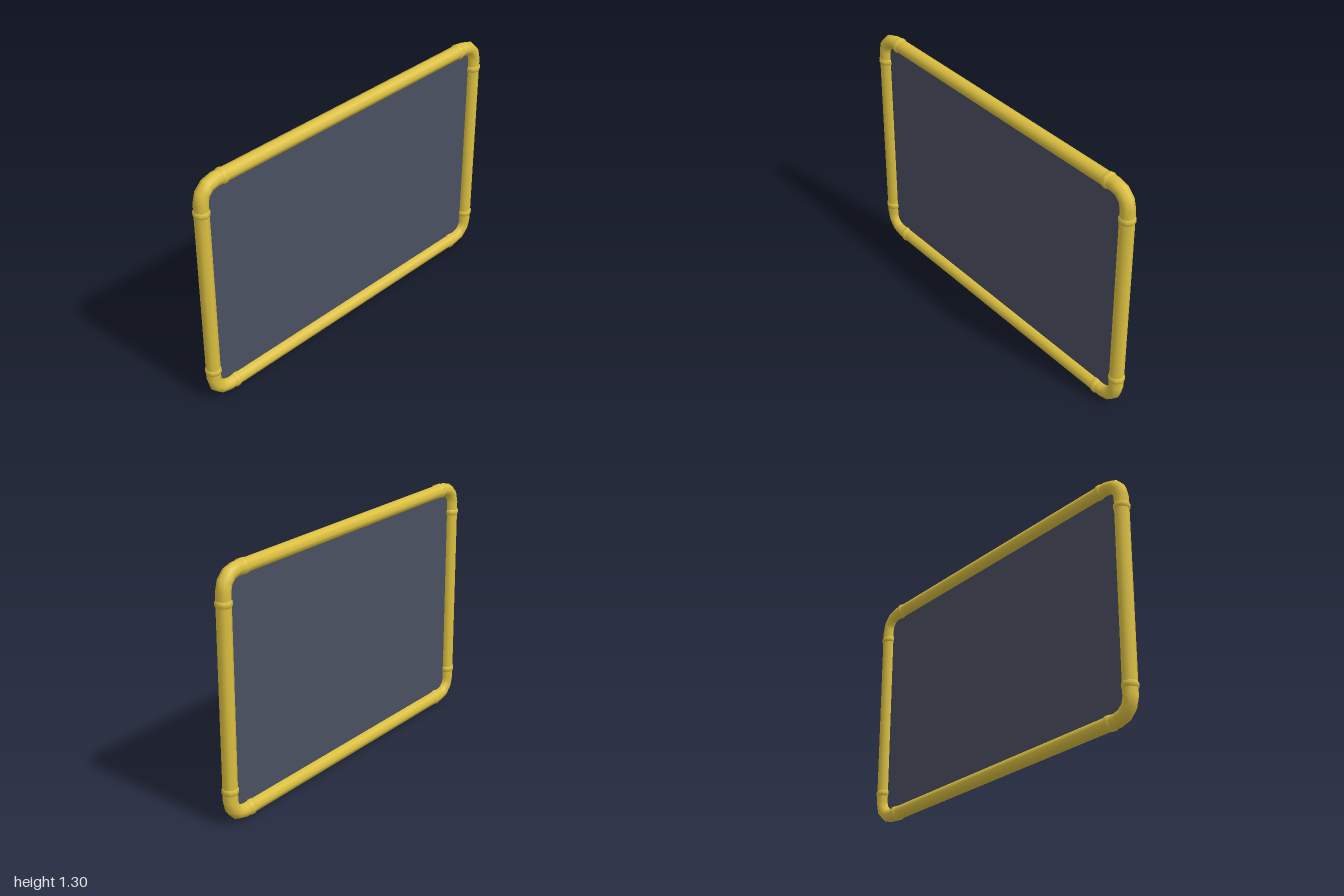
import * as THREE from 'three';

const X = 0.958, Y0 = 0.042, Y1 = 1.263; // pipe centre lines
const R = 0.037, BEND = 0.088, SIDES = 8;

export function createModel() {
  const model = new THREE.Group();
  model.name = 'pipeFramedPanel';
  const yellow = new THREE.MeshStandardMaterial({ color: 0xdcc040 });
  yellow.name = 'yellow pipe';
  const slate = new THREE.MeshStandardMaterial({ color: 0x4a5060, side: THREE.DoubleSide });
  slate.name = 'slate panel';

  const add = (name, geometry, material, x, y, turn = 0) => {
    const mesh = new THREE.Mesh(geometry, material);
    mesh.name = name;
    mesh.position.set(x, y, 0);
    mesh.rotation.z = turn;
    model.add(mesh);
  };

  const midY = (Y0 + Y1) / 2;
  const pipe = (length) => new THREE.CylinderGeometry(R, R, length, SIDES, 1, true);
  const rail = pipe(2 * (X - BEND)), post = pipe(Y1 - Y0 - 2 * BEND);
  const elbow = new THREE.TorusGeometry(BEND, R, SIDES, 3, Math.PI / 2);

  // Collar ring with softened rims
  const collar = new THREE.LatheGeometry([
    [0.034, -0.018], [0.041, -0.013], [0.042, 0], [0.041, 0.013], [0.034, 0.018],
  ].map(([r, y]) => new THREE.Vector2(r, y)), SIDES);

  // Backing sheet, its edges tucked into the pipes
  add('panel', new THREE.PlaneGeometry(2 * (X - 0.03), Y1 - Y0 - 0.06), slate, 0, midY);

  // Straight pipes
  add('topRail', rail, yellow, 0, Y1, Math.PI / 2);
  add('bottomRail', rail, yellow, 0, Y0, Math.PI / 2);
  add('leftPost', post, yellow, X, midY);
  add('rightPost', post, yellow, -X, midY);

  // Corner bends, each with a collar on both ends
  [[1, 1], [-1, 1], [-1, -1], [1, -1]].forEach(([sx, sy], i) => {
    const name = (sy > 0 ? 'top' : 'bottom') + (sx > 0 ? 'Left' : 'Right');
    const y = sy > 0 ? Y1 : Y0;
    add(name + 'Elbow', elbow, yellow, sx * (X - BEND), y - sy * BEND, i * Math.PI / 2);
    add(name + 'RailCollar', collar, yellow, sx * 0.825, y, Math.PI / 2);
    add(name + 'PostCollar', collar, yellow, sx * X, y - sy * 0.142);
  });
  return model;
}
